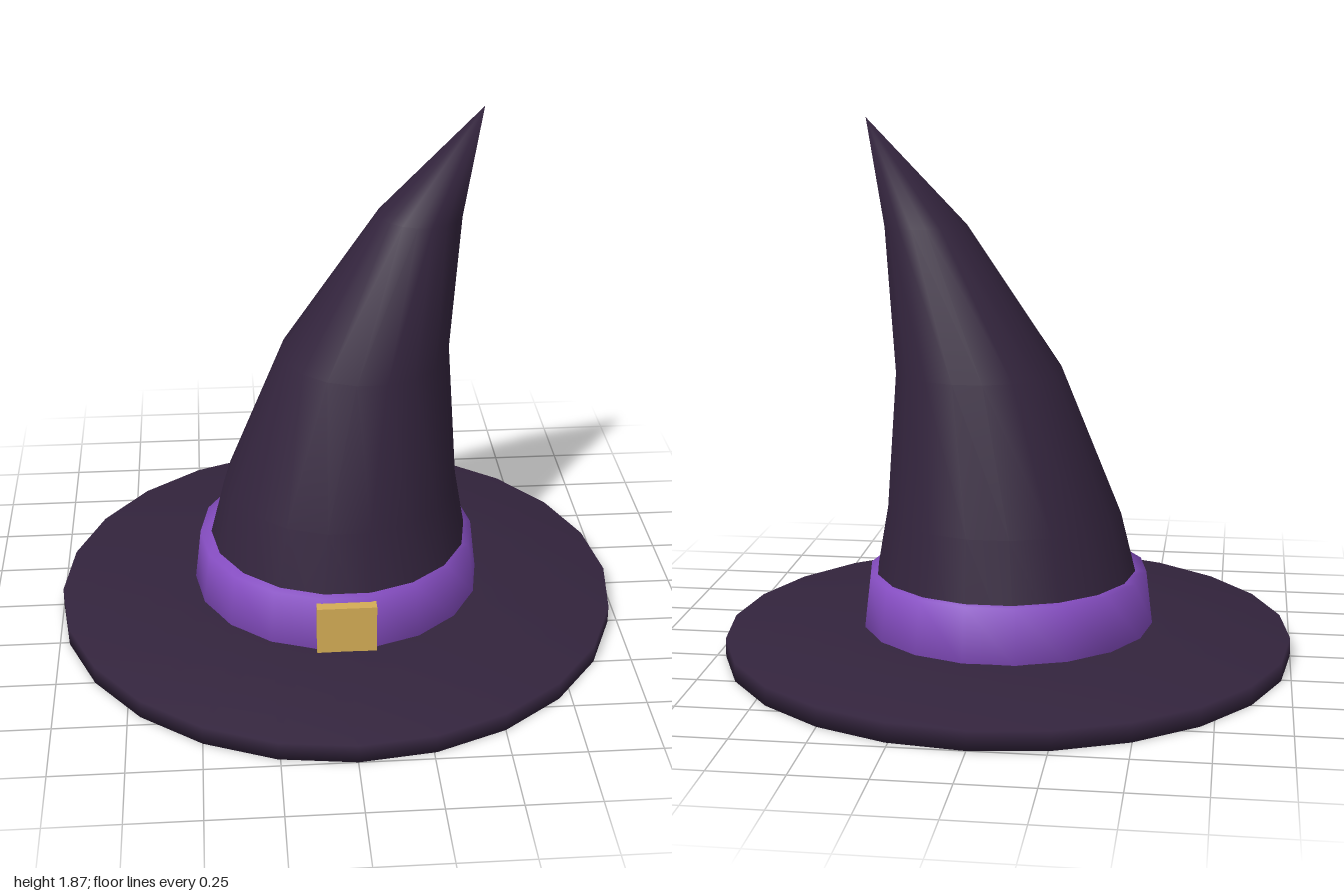
import * as THREE from 'three';
import { mergeVertices } from 'three/addons/utils/BufferGeometryUtils.js';

// Turned solid with fully smooth normals; optional third profile value shifts a ring along x.
function turned(profile, sides) {
  const points = profile.map(([r, y]) => new THREE.Vector2(r, y));
  const lathe = new THREE.LatheGeometry(points, sides, Math.PI / 2);
  const pos = lathe.attributes.position;
  for (let i = 0; i < pos.count; i++) {
    pos.setX(i, pos.getX(i) + (profile[i % profile.length][2] ?? 0));
  }
  lathe.deleteAttribute('uv');
  lathe.deleteAttribute('normal');
  const geometry = mergeVertices(lathe, 1e-5);
  geometry.computeVertexNormals();
  return geometry;
}

export function createModel() {
  const hat = new THREE.Group();
  hat.name = 'pointedHat';

  const felt = new THREE.MeshStandardMaterial({ color: 0x33243d });
  const ribbon = new THREE.MeshStandardMaterial({ color: 0x8a50c8 });
  const gold = new THREE.MeshStandardMaterial({ color: 0xd4ac55 });

  const add = (name, geometry, material) => {
    const mesh = new THREE.Mesh(geometry, material);
    mesh.name = name;
    hat.add(mesh);
    return mesh;
  };

  // Wide brim: flat underside, thin rim, top rising gently to the crown
  add('brim', turned([[0, 0], [1, 0], [1, 0.065], [0.5, 0.103], [0, 0.103]], 24), felt);

  // Crown: rings drift towards +x so the tip leans over
  add('crown', turned([
    [0.5, 0.1, 0],
    [0.415, 0.5, 0.015],
    [0.295, 1.0, 0.1],
    [0.145, 1.5, 0.285],
    [0, 1.87, 0.492],
  ], 18), felt);

  // Tapered ribbon around the foot of the crown
  add('band', turned([[0.42, 0.098], [0.515, 0.098], [0.492, 0.29], [0.42, 0.29]], 18), ribbon);

  // Plain square buckle on the front of the ribbon
  add('buckle', new THREE.BoxGeometry(0.205, 0.175, 0.04), gold).position.set(0, 0.1875, 0.503);

  return hat;
}
